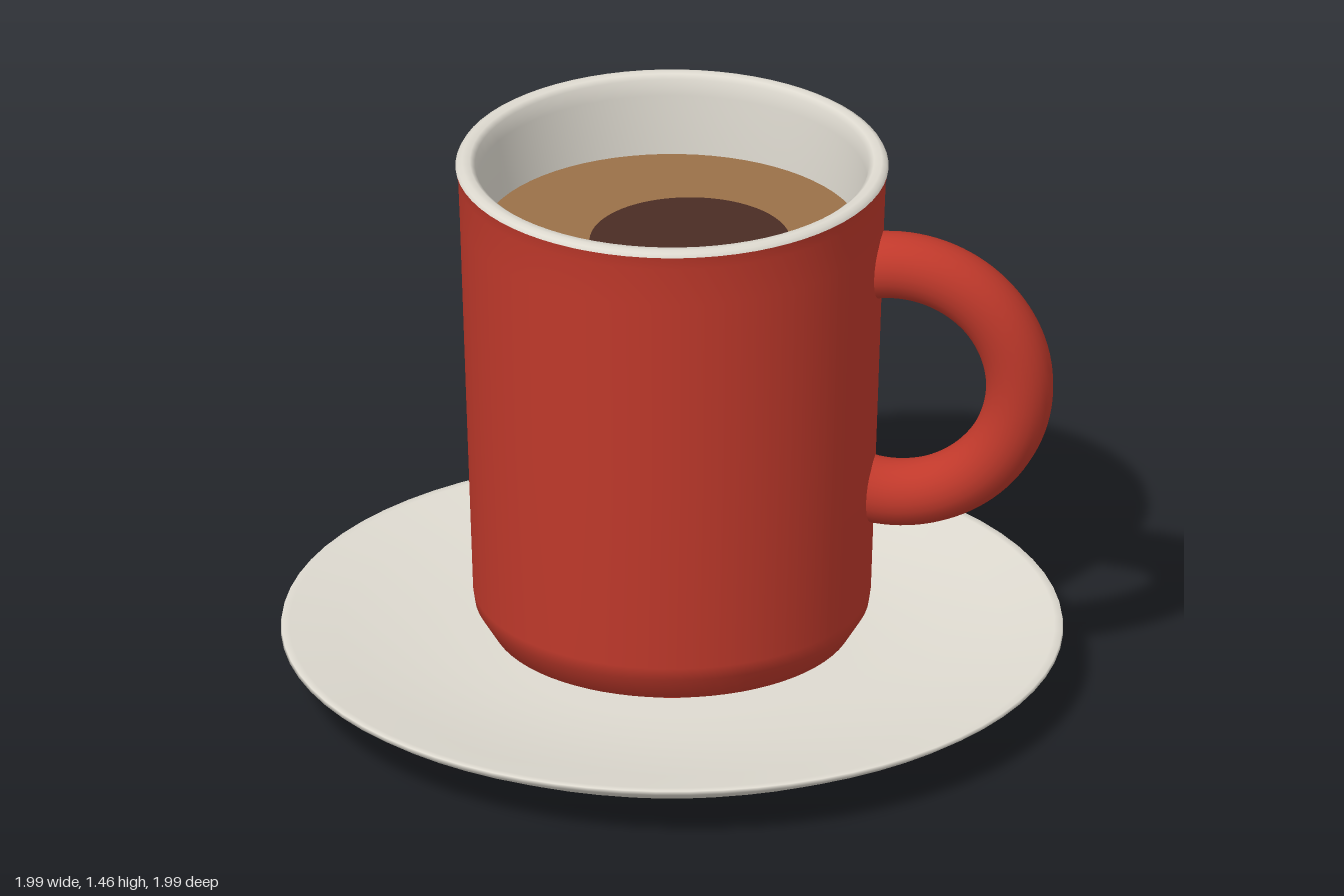
import * as THREE from 'three';

const flat = (name, color) => {
  const m = new THREE.MeshStandardMaterial({ color });
  m.name = name;
  return m;
};

export function createModel() {
  const red = flat('red glaze', 0xc0392b);
  const white = flat('white china', 0xdedad0);
  const crema = flat('crema', 0x9a7048);
  const dark = flat('dark coffee', 0x4a2c24);

  const group = new THREE.Group();
  group.name = 'cupAndSaucer';
  const add = (name, geometry, material, x = 0, y = 0, z = 0) => {
    const mesh = new THREE.Mesh(geometry, material);
    mesh.name = name;
    mesh.position.set(x, y, z);
    group.add(mesh);
    return mesh;
  };
  // Profiles run from the outer bottom, up and over the rim
  const lathe = (points) =>
    new THREE.LatheGeometry(points.map(([x, y]) => new THREE.Vector2(x, y)), 72);

  // Saucer with a recessed underside and a shallow dish
  add('saucer', lathe([
    [0, 0.03], [0.3, 0.034], [0.46, 0.04], [0.54, 0], [0.62, 0.003], [0.76, 0.015],
    [0.87, 0.068], [0.975, 0.122], [0.997, 0.137], [0.995, 0.147], [0.975, 0.147],
    [0.85, 0.122], [0.7, 0.098], [0.55, 0.083], [0.42, 0.08], [0, 0.08],
  ]), white);

  // Foot under the cup
  add('cupFoot', new THREE.CylinderGeometry(0.3, 0.3, 0.07, 48), red, 0, 0.112, 0);

  // Outer wall of the cup, with a chamfered base
  add('cupBody', lathe([
    [0, 0.14], [0.42, 0.14], [0.46, 0.157], [0.502, 0.225], [0.507, 0.26],
    [0.525, 0.8], [0.541, 1.3], [0.545, 1.405], [0.552, 1.44],
  ]), red);

  // White lip and lining
  add('cupLining', lathe([
    [0.552, 1.44], [0.547, 1.45], [0.535, 1.455], [0.515, 1.453], [0.502, 1.443],
    [0.497, 1.4], [0.487, 1.24], [0.465, 0.5], [0.44, 0.25], [0, 0.22],
  ]), white);

  // Coffee surface with an off-centre dark pool
  add('coffee', new THREE.CylinderGeometry(0.487, 0.485, 0.02, 72), crema, 0, 1.23, 0);
  add('coffeePool', new THREE.CylinderGeometry(0.256, 0.256, 0.006, 64), dark, 0.05, 1.242, 0.03);

  // Handle: an arc of a ring sunk into the cup wall at both ends
  const upper = 0.2, lower = 0.36;
  const handle = add('handle',
    new THREE.TorusGeometry(0.32, 0.086, 24, 64, Math.PI + upper + lower), red, 0.573, 0.875, 0);
  handle.rotation.z = -Math.PI / 2 - lower;

  return group;
}
